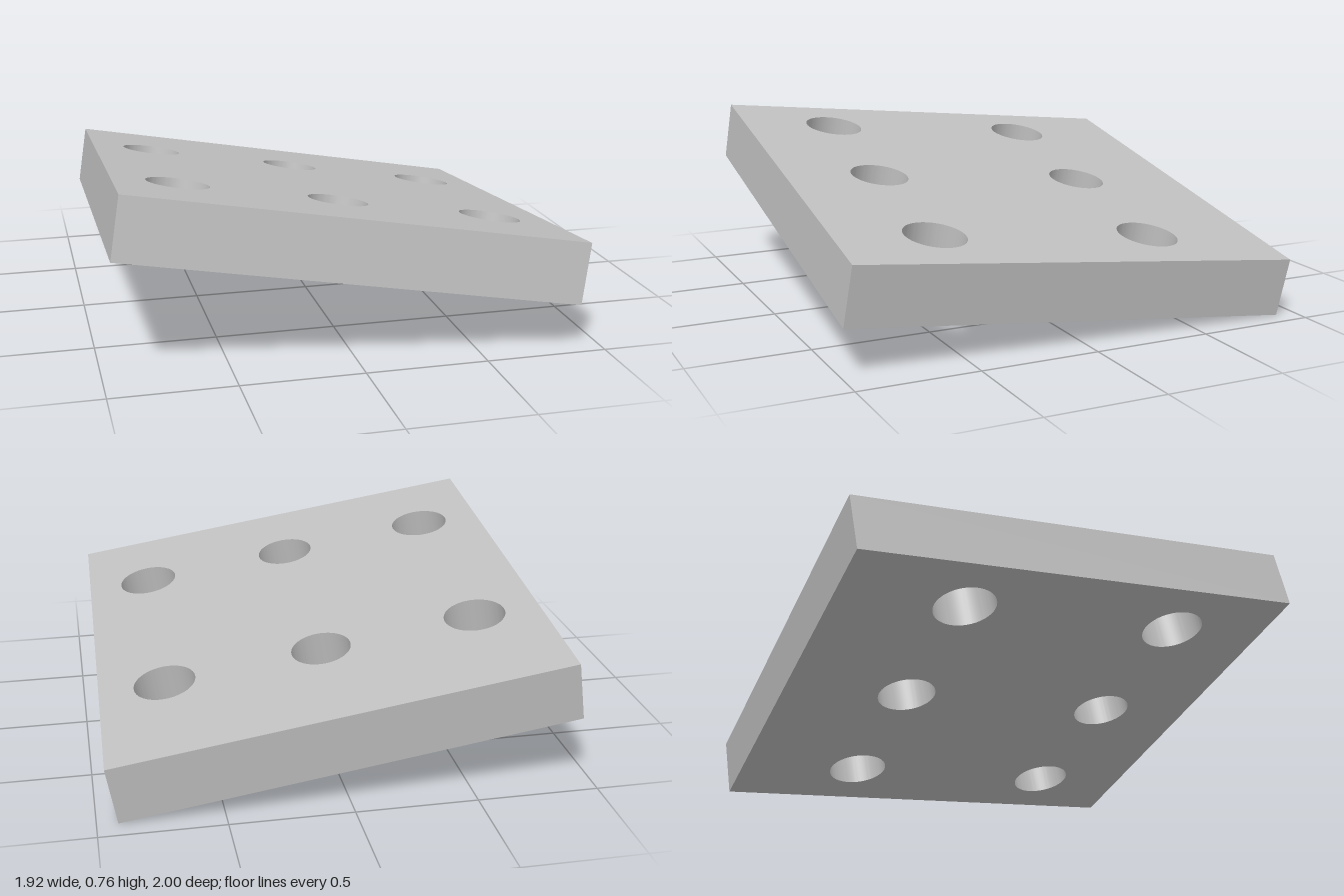
import * as THREE from 'three';
import { toCreasedNormals } from 'three/addons/utils/BufferGeometryUtils.js';

const WIDTH = 1.871, DEPTH = 1.922, THICKNESS = 0.254;

export function createModel() {
  const group = new THREE.Group();
  group.name = 'tiltedPlate';
  const grey = new THREE.MeshStandardMaterial({ color: 0xc0c0c0 });
  grey.name = 'plain grey';

  // Plate outline
  const w = WIDTH / 2, d = DEPTH / 2;
  const outline = new THREE.Shape();
  outline.moveTo(-w, -d);
  outline.lineTo(w, -d);
  outline.lineTo(w, d);
  outline.lineTo(-w, d);
  outline.closePath();

  // Two rows of three through holes, the middle ones slightly smaller
  for (const z of [-0.423, 0.535]) {
    for (const [x, radius] of [[-0.664, 0.129], [-0.002, 0.125], [0.66, 0.129]]) {
      const hole = new THREE.Path();
      hole.absarc(x, -z, radius, 0, Math.PI * 2, true);
      outline.holes.push(hole);
    }
  }

  const extruded = new THREE.ExtrudeGeometry(outline, {
    depth: THICKNESS, bevelEnabled: false, curveSegments: 48,
  });
  extruded.translate(0, 0, -THICKNESS / 2);
  const plate = new THREE.Mesh(toCreasedNormals(extruded, 0.5), grey);
  plate.name = 'plateWithHoles';

  // Tilt: the plate's width, front and up directions
  const across = new THREE.Vector3(1.844, -0.308, 0.062).normalize();
  const front = new THREE.Vector3(-0.029, 0.2, 1.912);
  front.addScaledVector(across, -front.dot(across)).normalize();
  const up = new THREE.Vector3().crossVectors(front, across);
  plate.quaternion.setFromRotationMatrix(
    new THREE.Matrix4().makeBasis(across, front.clone().negate(), up));

  // Rest the lowest corner on the ground
  plate.position.y = (Math.abs(across.y) * WIDTH + Math.abs(front.y) * DEPTH + up.y * THICKNESS) / 2;
  group.add(plate);
  return group;
}
